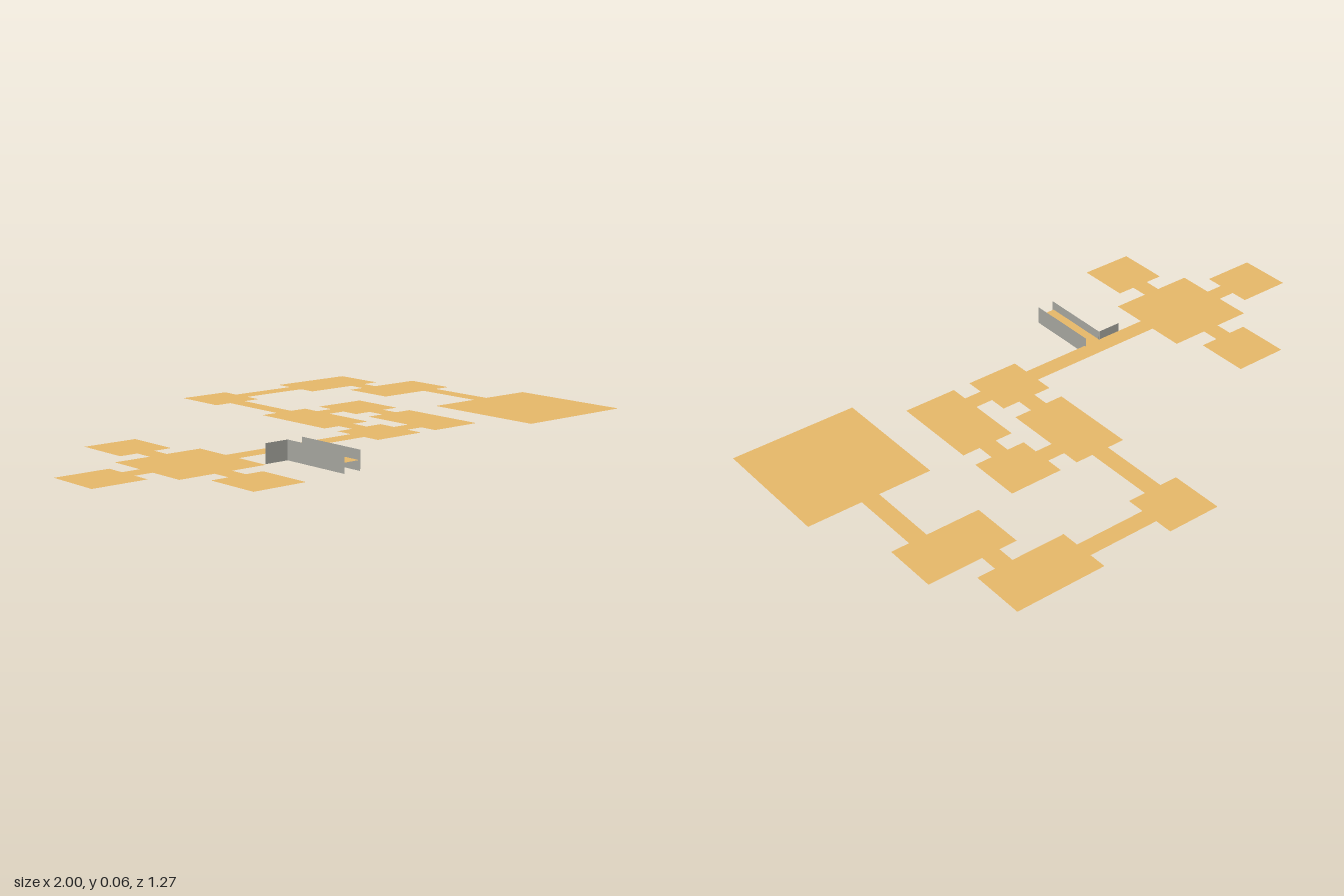
import * as THREE from 'three';

const U = 2 / 33; // one grid cell; the plan is 33 cells wide and 21 deep

export function createModel() {
  const model = new THREE.Group();
  model.name = 'floorPlan';
  const floor = new THREE.MeshStandardMaterial({ color: 0xe4b668, side: THREE.DoubleSide });
  floor.name = 'sandFloor';
  const stone = new THREE.MeshStandardMaterial({ color: 0xa3a39c, side: THREE.DoubleSide });
  stone.name = 'greyStone';
  const wallHeight = 0.062;

  // flat floor tile, level with the middle of the walls, given in grid cells
  const tile = (name, x0, x1, z0, z1) => {
    const geometry = new THREE.PlaneGeometry((x1 - x0) * U, (z1 - z0) * U).rotateX(-Math.PI / 2);
    const mesh = new THREE.Mesh(geometry, floor);
    mesh.position.set(((x0 + x1) / 2 - 16.5) * U, wallHeight / 2, ((z0 + z1) / 2 - 10.5) * U);
    mesh.name = name;
    model.add(mesh);
  };

  // rooms: x0, x1, z0, z1
  const rooms = {
    westHall: [4, 9, 12, 17],
    westNorthRoom: [5, 8, 8, 11],
    westEndRoom: [0, 3, 13, 16],
    westSouthRoom: [5, 8, 18, 21],
    centreRoom: [17, 20, 13, 16],
    longRoom: [17, 20, 7, 12],
    northRoom: [17, 20, 0, 3],
    northEastRoom: [24, 29, 0, 3],
    eastRoom: [26, 31, 4, 7],
    greatHall: [26, 33, 11, 18],
    innerRoom: [21, 24, 7, 10],
    innerLongRoom: [21, 24, 11, 16],
  };
  for (const [name, r] of Object.entries(rooms)) tile(name, ...r);

  // corridors joining the rooms
  const corridors = [
    [6, 7, 11, 12],
    [3, 4, 14, 15],
    [6, 7, 17, 18],
    [9, 17, 14, 15],
    [12, 13, 15, 19],
    [18, 19, 12, 13],
    [18, 19, 3, 7],
    [20, 24, 1, 2],
    [27, 28, 3, 4],
    [29, 30, 7, 11],
    [20, 21, 8, 9],
    [22, 23, 10, 11],
    [20, 21, 14, 15],
  ];
  for (const c of corridors) tile('corridor', ...c);

  // thin upright walls around the dead-end corridor
  const wall = (name, length, x, z, turn) => {
    const mesh = new THREE.Mesh(new THREE.PlaneGeometry(length, wallHeight), stone);
    mesh.position.set(x, wallHeight / 2, z);
    mesh.rotation.y = turn;
    mesh.name = name;
    model.add(mesh);
  };
  wall('rightPassageWall', 0.253, -4.5 * U, 6.5 * U, Math.PI / 2);
  wall('leftPassageWall', 0.253, -3.5 * U, 6.5 * U, Math.PI / 2);
  wall('cornerWall', 0.085, -0.314, 4.5 * U, 0);

  return model;
}
